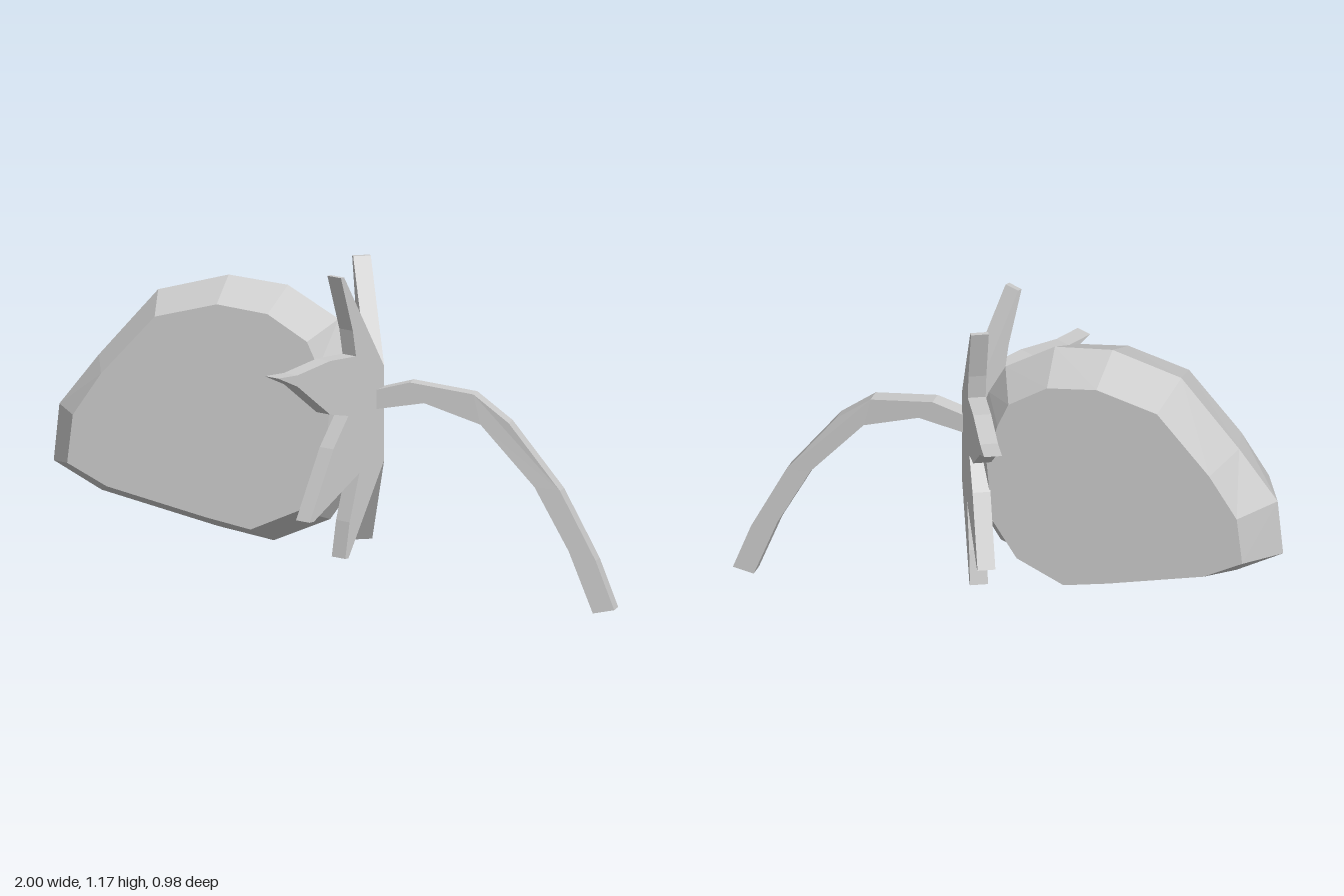
import * as THREE from 'three';

const material = new THREE.MeshStandardMaterial({ color: 0xcccccc, flatShading: true });

function addPart(parent, geometry, name) {
  const mesh = new THREE.Mesh(geometry, material);
  mesh.name = name;
  parent.add(mesh);
  return mesh;
}

function shapeOf(points) {
  return new THREE.Shape(points.map(([x, y]) => new THREE.Vector2(x, y)));
}

// Flat-sided fruit: a wide middle outline with a smaller outline on each face.
function berryGeometry() {
  const rim = [
    [-1, 0.43], [-0.83, 0.335], [-0.42, 0.23], [-0.22, 0.19], [-0.02, 0.275], [0.11, 0.46], [0.13, 0.7],
    [0.07, 0.87], [0.01, 0.98], [-0.17, 1.09], [-0.38, 1.115], [-0.63, 1.05], [-0.84, 0.81], [-0.98, 0.63]];
  const face = [
    [-0.91, 0.46], [-0.77, 0.385], [-0.42, 0.295], [-0.26, 0.26], [-0.09, 0.335], [0, 0.47], [0.02, 0.7],
    [-0.02, 0.84], [-0.06, 0.93], [-0.2, 1.02], [-0.38, 1.045], [-0.6, 0.99], [-0.79, 0.78], [-0.89, 0.63]];
  const rings = [[face, 0.13], [rim, -0.037], [face, -0.207]];
  const n = rim.length;
  const positions = [];
  for (const [outline, z] of rings) for (const [x, y] of outline) positions.push(x, y, z);
  positions.push(-0.4, 0.65, 0.13, -0.4, 0.65, -0.207);
  const index = [];
  for (let i = 0; i < n; i++) {
    const j = (i + 1) % n;
    for (let r = 0; r < 2; r++) {
      const a = r * n, b = a + n;
      index.push(a + i, b + i, b + j, a + i, b + j, a + j);
    }
    index.push(3 * n, i, j, 3 * n + 1, 2 * n + j, 2 * n + i);
  }
  const geometry = new THREE.BufferGeometry();
  geometry.setAttribute('position', new THREE.Float32BufferAttribute(positions, 3));
  geometry.setIndex(index);
  const flat = geometry.toNonIndexed();
  flat.computeVertexNormals();
  return flat;
}

export function createModel() {
  const model = new THREE.Group();
  model.name = 'strawberry';
  addPart(model, berryGeometry(), 'berry');

  // Leafy crown: two jagged plates meeting in a ridge under the stem
  const crown = new THREE.Group();
  crown.name = 'leafCrown';
  model.add(crown);
  const leaf = [
    [0, 0.5], [0.165, 0.185], [0.18, 0.185], [0.16, 0.31], [0.115, 0.475], [0.325, 0.342], [0.345, 0.342],
    [0.235, 0.58], [0.165, 0.685], [0.25, 0.705], [0.4, 0.83], [0.49, 0.875], [0.4, 0.87], [0.25, 0.893],
    [0.13, 0.888], [0.145, 0.98], [0.2, 1.175], [0.185, 1.175], [0, 0.83]];
  const thickness = 0.062;
  const slope = Math.atan2(0.89, 0.456);
  const plateShape = shapeOf(leaf.map(([z, y]) => [z / Math.sin(slope), y]));
  for (const side of [1, -1]) {
    const geometry = new THREE.ExtrudeGeometry(plateShape, { depth: thickness, bevelEnabled: false });
    if (side < 0) geometry.translate(0, 0, -thickness);
    const plate = addPart(crown, geometry, side > 0 ? 'frontLeaves' : 'backLeaves');
    plate.rotation.y = side * (slope - Math.PI);
    plate.position.x = 0.18;
    plate.position.z = -0.003;
  }

  // Drooping square stem, drifting slightly backward toward its tip
  const upper = [[0.13, 0.745], [0.28, 0.785], [0.505, 0.755], [0.63, 0.66], [0.81, 0.43], [0.935, 0.19], [1, 0.02]];
  const lower = [[0.925, 0.005], [0.84, 0.22], [0.72, 0.44], [0.53, 0.65], [0.33, 0.715], [0.13, 0.68]];
  const stem = new THREE.ExtrudeGeometry(shapeOf([...lower, ...upper]), { depth: 0.056, bevelEnabled: false });
  const p = stem.attributes.position;
  for (let i = 0; i < p.count; i++) {
    const x = p.getX(i);
    const drift = x < 0.6 ? 0.004 : 0.004 - 0.04 * (x - 0.6);
    p.setZ(i, p.getZ(i) - 0.028 + drift);
  }
  stem.computeVertexNormals();
  addPart(model, stem, 'stem');

  return model;
}
